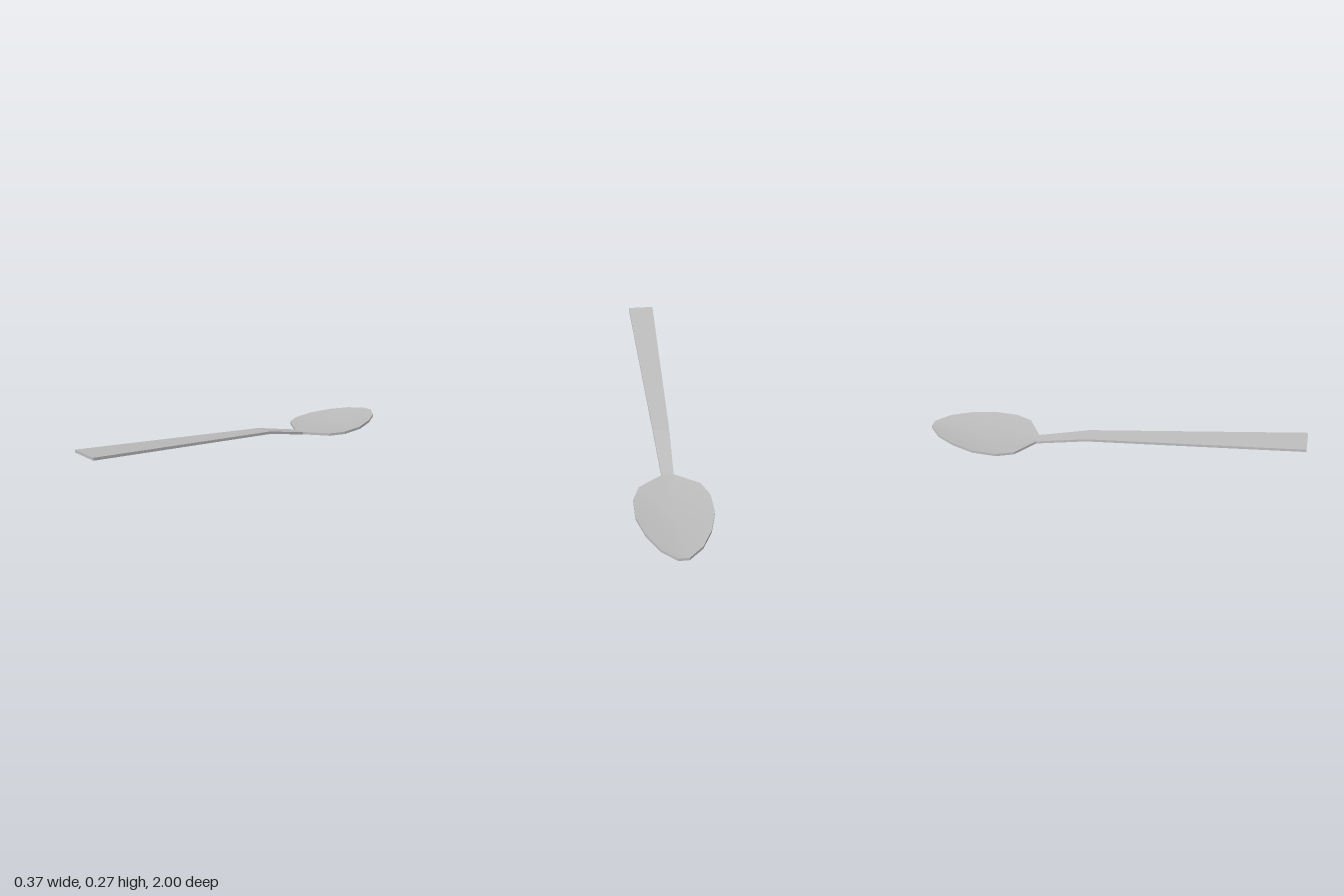
import * as THREE from 'three';

const THICKNESS = 0.014;

// Builds a thin sheet from an outline (counter-clockwise from above) and its top triangles.
// The edge wall is left open on the edge where parts join.
function slab(name, material, points, edgeCount, triangles, joinEdge, smooth) {
  const group = new THREE.Group();
  group.name = name;
  const lower = points.map(([x, y, z]) => [x, y - THICKNESS, z]);

  const add = (partName, verts, faces, isSmooth) => {
    let geometry = new THREE.BufferGeometry();
    geometry.setAttribute('position', new THREE.Float32BufferAttribute(verts.flat(), 3));
    geometry.setIndex(faces.flat());
    if (!isSmooth) geometry = geometry.toNonIndexed();
    geometry.computeVertexNormals();
    const mesh = new THREE.Mesh(geometry, material);
    mesh.name = partName;
    group.add(mesh);
  };

  add(name + 'Top', points, triangles, smooth);
  add(name + 'Underside', lower, triangles.map(([a, b, c]) => [a, c, b]), smooth);

  const wall = [];
  const n = points.length;
  for (let i = 0; i < edgeCount; i++) {
    if (i === joinEdge) continue;
    const j = (i + 1) % edgeCount;
    wall.push([i + n, j + n, j], [i + n, j, i]);
  }
  add(name + 'Edge', [...points, ...lower], wall, false);
  return group;
}

export function createModel() {
  const model = new THREE.Group();
  model.name = 'spoon';
  const metal = new THREE.MeshStandardMaterial({ color: 0xbcbcbc });
  metal.name = 'greyMetal';

  // Bowl: mirrored rim falling to one low point
  const half = [
    [0.03, 0.045, -0.4], [0.15, 0.046, -0.485], [0.185, 0.044, -0.575], [0.185, 0.044, -0.705],
    [0.15, 0.046, -0.83], [0.095, 0.046, -0.935], [0.025, 0.045, -1.0],
  ];
  const mirrored = half.map(([x, y, z]) => [-x, y, z]).reverse();
  const rim = [...half, ...mirrored];
  const count = rim.length;
  const fan = rim.map((_, i) => [i, (i + 1) % count, count]);
  model.add(slab('bowl', metal, [...rim, [0, THICKNESS + 0.001, -0.7]], count, fan, count - 1, true));

  // Handle: tapering strip with a bend near the neck
  const handle = [
    [-0.072, 0.267, 1], [0.072, 0.267, 1], [0.042, 0.116, -0.12],
    [0.03, 0.045, -0.4], [-0.03, 0.045, -0.4], [-0.042, 0.116, -0.12],
  ];
  const strips = [[0, 1, 2], [0, 2, 5], [5, 2, 3], [5, 3, 4]];
  model.add(slab('handle', metal, handle, 6, strips, 3, false));

  return model;
}
